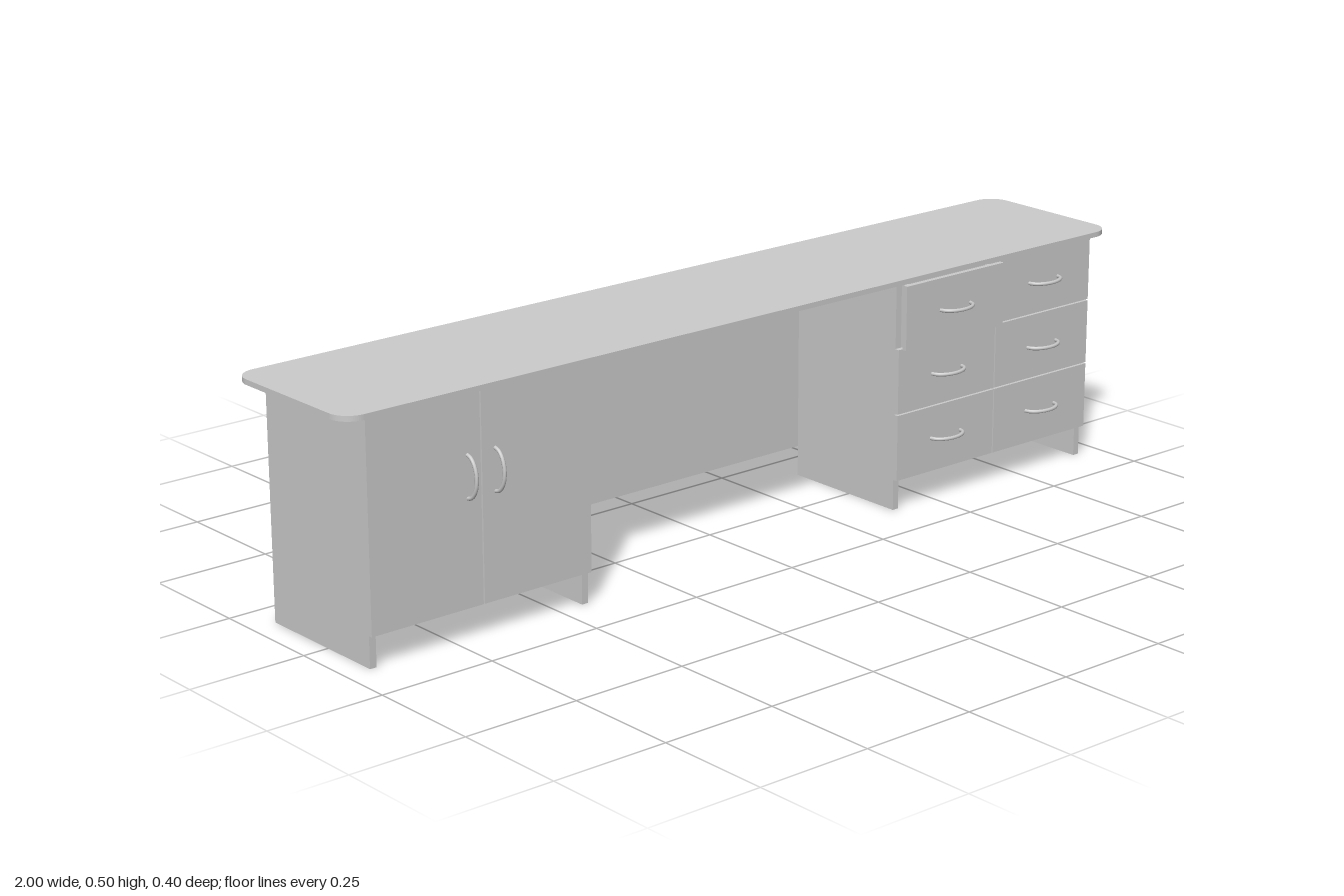
import * as THREE from 'three';

const material = new THREE.MeshStandardMaterial({ color: 0xcccccc });

// Box given by its lower and upper corners
function slab(parent, name, x0, x1, y0, y1, z0, z1) {
  const mesh = new THREE.Mesh(new THREE.BoxGeometry(x1 - x0, y1 - y0, z1 - z0), material);
  mesh.name = name;
  mesh.position.set((x0 + x1) / 2, (y0 + y1) / 2, (z0 + z1) / 2);
  parent.add(mesh);
  return mesh;
}

// Flat slab with rounded corners in plan
function tableTop(x, z0, z1, y0, y1, r) {
  const s = new THREE.Shape();
  const a = -z1, b = -z0;
  s.moveTo(-x + r, a);
  s.lineTo(x - r, a);
  s.absarc(x - r, a + r, r, -Math.PI / 2, 0);
  s.lineTo(x, b - r);
  s.absarc(x - r, b - r, r, 0, Math.PI / 2);
  s.lineTo(-x + r, b);
  s.absarc(-x + r, b - r, r, Math.PI / 2, Math.PI);
  s.lineTo(-x, a + r);
  s.absarc(-x + r, a + r, r, Math.PI, Math.PI * 1.5);
  const geo = new THREE.ExtrudeGeometry(s, { depth: y1 - y0, bevelEnabled: false, curveSegments: 10 });
  geo.rotateX(-Math.PI / 2).translate(0, y0, 0);
  const mesh = new THREE.Mesh(geo, material);
  mesh.name = 'tableTop';
  return mesh;
}

// Bowed pull handle, half an ellipse standing out of the front
const handlePoints = [];
for (let i = 0; i <= 8; i++) {
  const t = Math.PI * i / 8;
  handlePoints.push(new THREE.Vector3(-0.043 * Math.cos(t), 0, 0.028 * Math.sin(t)));
}
const handleGeometry = new THREE.TubeGeometry(new THREE.CatmullRomCurve3(handlePoints), 20, 0.004, 8);

function handle(parent, x, y, z, upright) {
  const mesh = new THREE.Mesh(handleGeometry, material);
  mesh.name = 'handle';
  mesh.position.set(x, y, z);
  if (upright) mesh.rotation.z = Math.PI / 2;
  parent.add(mesh);
}

export function createModel() {
  const desk = new THREE.Group();
  desk.name = 'desk';
  const topY = 0.492, back = -0.175, front = 0.135, face = 0.147;

  desk.add(tableTop(1, -0.2, 0.157, topY, 0.503, 0.045));
  slab(desk, 'backPanel', -0.93, 0.93, 0.065, topY, back, back + 0.015);

  // Upright side panels, reaching the floor
  slab(desk, 'outerPanel', -0.945, -0.93, 0, topY, back, front);
  slab(desk, 'outerPanel', 0.93, 0.945, 0, topY, back, front);
  slab(desk, 'innerPanel', -0.443, -0.428, 0, topY, back + 0.015, front);
  slab(desk, 'innerPanel', 0.387, 0.402, 0, topY, back + 0.015, front);

  // Cabinet floors and partitions
  slab(desk, 'cabinetFloor', -0.93, -0.443, 0.08, 0.095, back + 0.015, front);
  slab(desk, 'cabinetFloor', 0.402, 0.93, 0.08, 0.095, back + 0.015, front);
  slab(desk, 'partition', -0.695, -0.68, 0.066, topY, back + 0.015, front);
  slab(desk, 'partition', 0.659, 0.674, 0.08, topY, back + 0.015, front);

  // Double doors
  for (const [x0, x1, hx] of [[-0.947, -0.689, -0.72], [-0.686, -0.428, -0.655]]) {
    const door = new THREE.Group();
    door.name = 'door';
    slab(door, 'doorPanel', x0, x1, 0.067, 0.49, front + 0.001, face);
    handle(door, hx, 0.328, face, true);
    desk.add(door);
  }

  // Two columns of three drawers, one top drawer pulled out a little
  const rows = [[0.067, 0.209, 0.14], [0.212, 0.351, 0.281], [0.354, 0.491, 0.423]];
  const columns = [[0.385, 0.664], [0.667, 0.946]];
  columns.forEach(([x0, x1], c) => rows.forEach(([y0, y1, hy], r) => {
    const drawer = new THREE.Group();
    drawer.name = 'drawer';
    const open = c === 0 && r === 2;
    slab(drawer, 'drawerFront', x0, x1, y0, y1, front + 0.001, face);
    handle(drawer, (x0 + x1) / 2, hy, face, false);
    if (open) {
      const a = x0 + 0.025, b = x1 - 0.015, lo = y0 + 0.005, hi = y1 - 0.007;
      slab(drawer, 'drawerBase', a, b, lo, lo + 0.006, -0.13, front);
      slab(drawer, 'drawerSide', a, a + 0.01, lo, hi, -0.13, front);
      slab(drawer, 'drawerSide', b - 0.01, b, lo, hi, -0.13, front);
      slab(drawer, 'drawerBack', a, b, lo, hi, -0.14, -0.13);
      drawer.position.z = 0.021;
    }
    desk.add(drawer);
  }));

  return desk;
}
